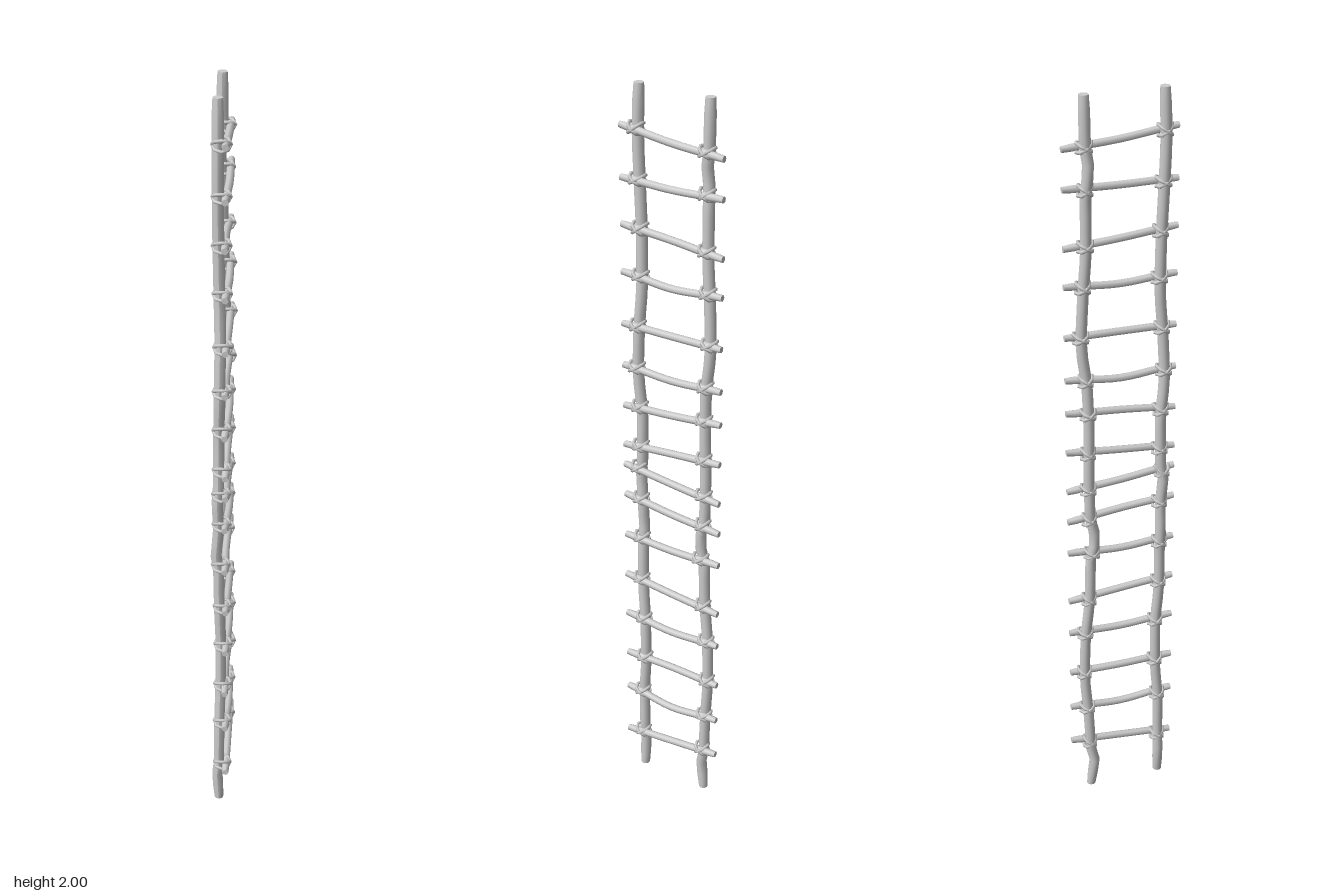
import * as THREE from 'three';

const material = new THREE.MeshStandardMaterial({ color: 0xcccccc });

function addMesh(parent, name, geometry) {
  const mesh = new THREE.Mesh(geometry, material);
  mesh.name = name;
  parent.add(mesh);
  return mesh;
}

// Round stick along y whose cross-sections follow offset(t), with slightly bevelled ends
function bentStick(length, radius, sides, rows, offset) {
  const geometry = new THREE.CylinderGeometry(radius, radius, length, sides, rows);
  const pos = geometry.attributes.position;
  for (let i = 0; i < pos.count; i++) {
    const t = pos.getY(i) / length + 0.5;
    const shrink = t < 0.001 || t > 0.999 ? 0.85 : 1;
    const d = offset(t);
    pos.setXYZ(i, pos.getX(i) * shrink + d.x, pos.getY(i) + d.y, pos.getZ(i) * shrink + d.z);
  }
  geometry.computeVertexNormals();
  return geometry;
}

// Sideways wander of each pole, in thousandths, at equal steps from bottom to top
const POLES = [
  { name: 'leftPole', z: 0.1,
    dx: [0, 0, 1, 4, 5, 2, 0, 0, 0, 1, 3, 5, 3, 1, 0, 0, 0],
    dz: [2, 2, 2, -6, -6, 2, 2, 2, 2, 0, 10, 5, -4, -3, 2, 6, 2] },
  { name: 'rightPole', z: -0.094,
    dx: [0, 0, 2, 5, 3, 0, 0, 0, 0, 1, 4, 6, 4, 1, 0, 0, 0],
    dz: [0, 0, -5, -13, -10, 2, 5, 5, 3, 5, 2, -11, -6, 2, 2, 2, 0] },
];

// Rungs: height at the +z end, height at the -z end, sag in the middle
const RUNGS = [
  [0.118, 0.147, 0], [0.267, 0.264, 0.014], [0.382, 0.382, 0], [0.515, 0.512, 0.008],
  [0.642, 0.615, 0], [0.767, 0.767, 0.007], [0.892, 0.863, 0], [0.983, 0.953, 0.002],
  [1.042, 1.068, 0], [1.155, 1.18, 0], [1.27, 1.272, 0.01], [1.385, 1.388, 0],
  [1.524, 1.523, 0.01], [1.648, 1.622, 0], [1.767, 1.77, 0.003], [1.897, 1.868, 0.004],
];

export function createModel() {
  const model = new THREE.Group();
  model.name = 'ropeLashedLadder';

  // Two upright, slightly crooked poles
  const curves = POLES.map(({ name, z, dx, dz }) => {
    const curve = new THREE.CatmullRomCurve3(
      dx.map((x, i) => new THREE.Vector3(-0.007 + x / 1000, 0, z + dz[i] / 1000)));
    const pole = addMesh(model, name, bentStick(2, 0.0145, 10, 48, (t) => curve.getPoint(t)));
    pole.position.y = 1;
    return curve;
  });

  RUNGS.forEach(([yFront, yBack, sag], i) => {
    const rungLength = 0.288;
    const bow = 0.004 * Math.sin(i * 2.3);
    const rungX = 0.0115 + 0.001 * Math.cos(i * 1.7);
    const middle = (yFront + yBack) / 2;

    // Rung, laid along z on the +x face of the poles
    const geometry = bentStick(rungLength, 0.0098, 8, 12, (t) => {
      const s = Math.sin(Math.PI * t);
      return new THREE.Vector3(rungX + bow * s * s, 0, 0);
    });
    geometry.rotateX(Math.PI / 2);
    const pos = geometry.attributes.position;
    for (let k = 0; k < pos.count; k++) {
      const u = pos.getZ(k) / rungLength;
      const rise = (yFront - yBack) * u - sag * Math.cos(Math.PI * u) ** 2;
      pos.setY(k, pos.getY(k) + rise);
    }
    geometry.computeVertexNormals();
    addMesh(model, 'rung', geometry).position.y = middle;

    // Crossed rope loops tying the rung to each pole
    curves.forEach((curve, side) => {
      const at = curve.getPoint(middle / 2);
      const lashing = new THREE.Group();
      lashing.name = 'lashing';
      const rise = (yFront - yBack) * at.z / rungLength;
      const dip = sag * Math.cos(Math.PI * at.z / rungLength) ** 2;
      lashing.position.set((at.x + rungX) / 2 - 0.001, middle + rise - dip, at.z);
      for (const tilt of [-1, 1]) {
        const loop = addMesh(lashing, 'ropeLoop', new THREE.TorusGeometry(0.0215, 0.0046, 6, 8));
        loop.rotation.x = Math.PI / 2 + tilt * (0.6 + 0.1 * Math.sin(i * 3.1 + side));
      }
      model.add(lashing);
    });
  });

  return model;
}
